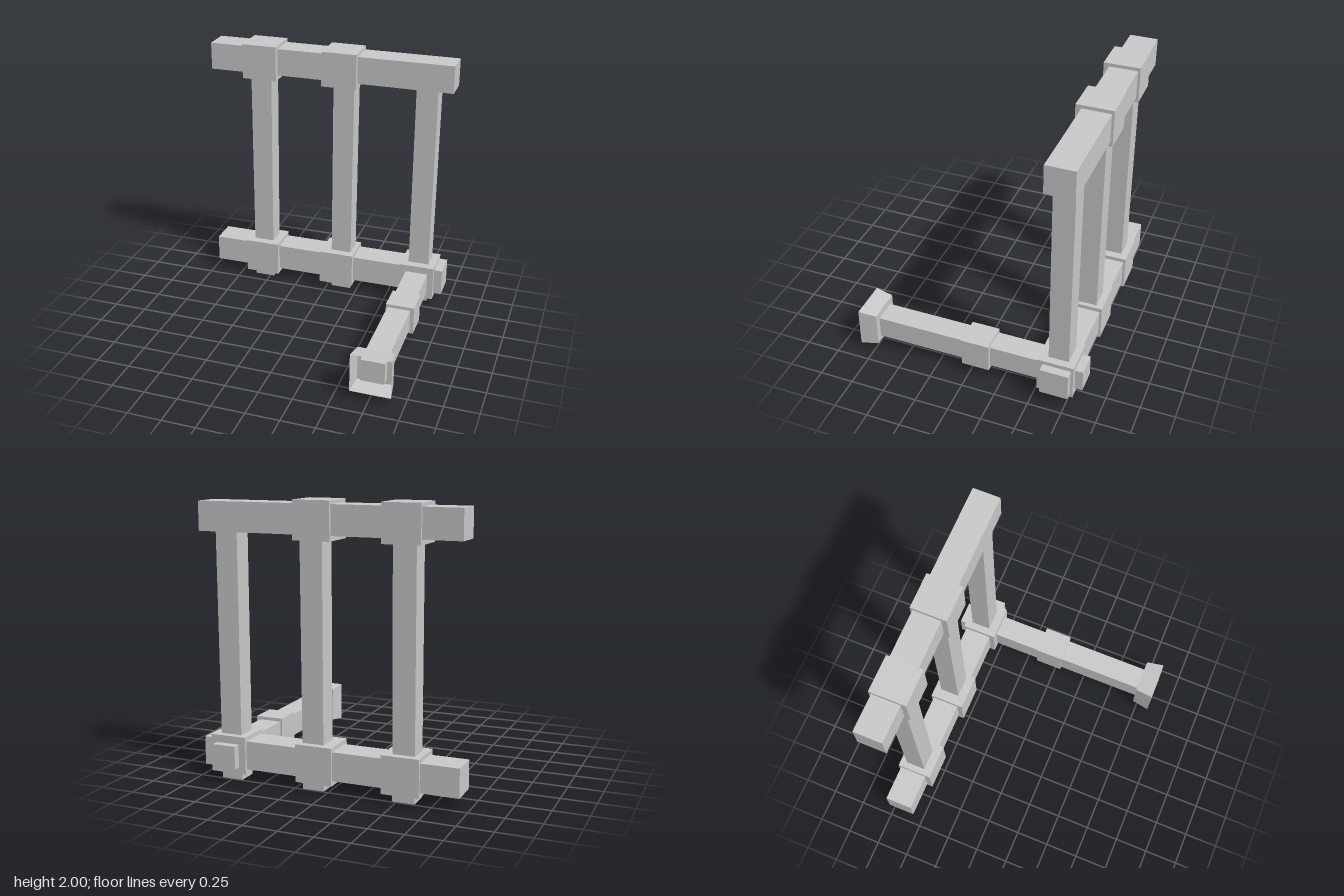
import * as THREE from 'three';

export function createModel() {
  const model = new THREE.Group();
  const material = new THREE.MeshStandardMaterial({ color: 0xcccccc, flatShading: true });
  const thin = new THREE.MeshStandardMaterial({ color: 0xcccccc, flatShading: true, side: THREE.DoubleSide });

  const add = (name, geometry, mat = material) => {
    const mesh = new THREE.Mesh(geometry, mat);
    mesh.name = name;
    model.add(mesh);
    return mesh;
  };

  // Box given by its limits on each axis
  const box = (name, [x0, x1], [y0, y1], [z0, z1]) => {
    const mesh = add(name, new THREE.BoxGeometry(x1 - x0, y1 - y0, z1 - z0));
    mesh.position.set((x0 + x1) / 2, (y0 + y1) / 2, (z0 + z1) / 2);
    return mesh;
  };

  // Long horizontal rails
  const railZ = [-0.775, -0.568];
  box('topRail', [-0.95, 0.95], [1.768, 1.975], railZ);
  box('bottomRail', [-0.95, 0.95], [0.097, 0.302], railZ);

  // Square joint blocks where the posts cross the rails
  const jointZ = [-0.793, -0.527];
  for (const x of [-0.542, 0.09]) {
    box('topJoint', [x - 0.135, x + 0.135], [1.732, 2], jointZ);
    box('bottomJoint', [x - 0.135, x + 0.135], [0.062, 0.332], jointZ);
  }
  box('cornerJoint', [0.616, 0.888], [0.062, 0.332], jointZ);

  // Upright posts, a touch narrower at the foot
  for (const x of [-0.55, 0.114, 0.753]) {
    const post = box('post', [x - 0.082, x + 0.082], [0, 1.85], [-0.744, -0.591]);
    const p = post.geometry.attributes.position;
    for (let i = 0; i < p.count; i++) {
      if (p.getY(i) < 0) p.setXYZ(i, p.getX(i) * 0.965, p.getY(i), p.getZ(i) * 0.965);
    }
  }

  // Forward arm with its stub through the corner joint, and a collar
  box('arm', [0.669, 0.842], [0.109, 0.277], [-0.85, 0.785]);
  box('armCollar', [0.656, 0.87], [0.084, 0.301], [-0.157, 0.052]);

  // Flared cup at the arm's end: thin walls, open to the front, closed at the back
  const ring = (w, h, z) => [[-w, -h, z], [w, -h, z], [w, h, z], [-w, h, z]];
  const corners = [...ring(0.13, 0.13, 0.716), ...ring(0.148, 0.148, 0.85)];
  const index = [0, 2, 1, 0, 3, 2];
  for (let i = 0; i < 4; i++) {
    const j = (i + 1) % 4;
    index.push(i, j, j + 4, i, j + 4, i + 4);
  }
  const cup = new THREE.BufferGeometry();
  cup.setAttribute('position', new THREE.Float32BufferAttribute(corners.flat(), 3));
  cup.setIndex(index);
  const cupFaces = cup.toNonIndexed();
  cupFaces.computeVertexNormals();
  add('endCup', cupFaces, thin).position.set(0.759, 0.2, 0);

  return model;
}
